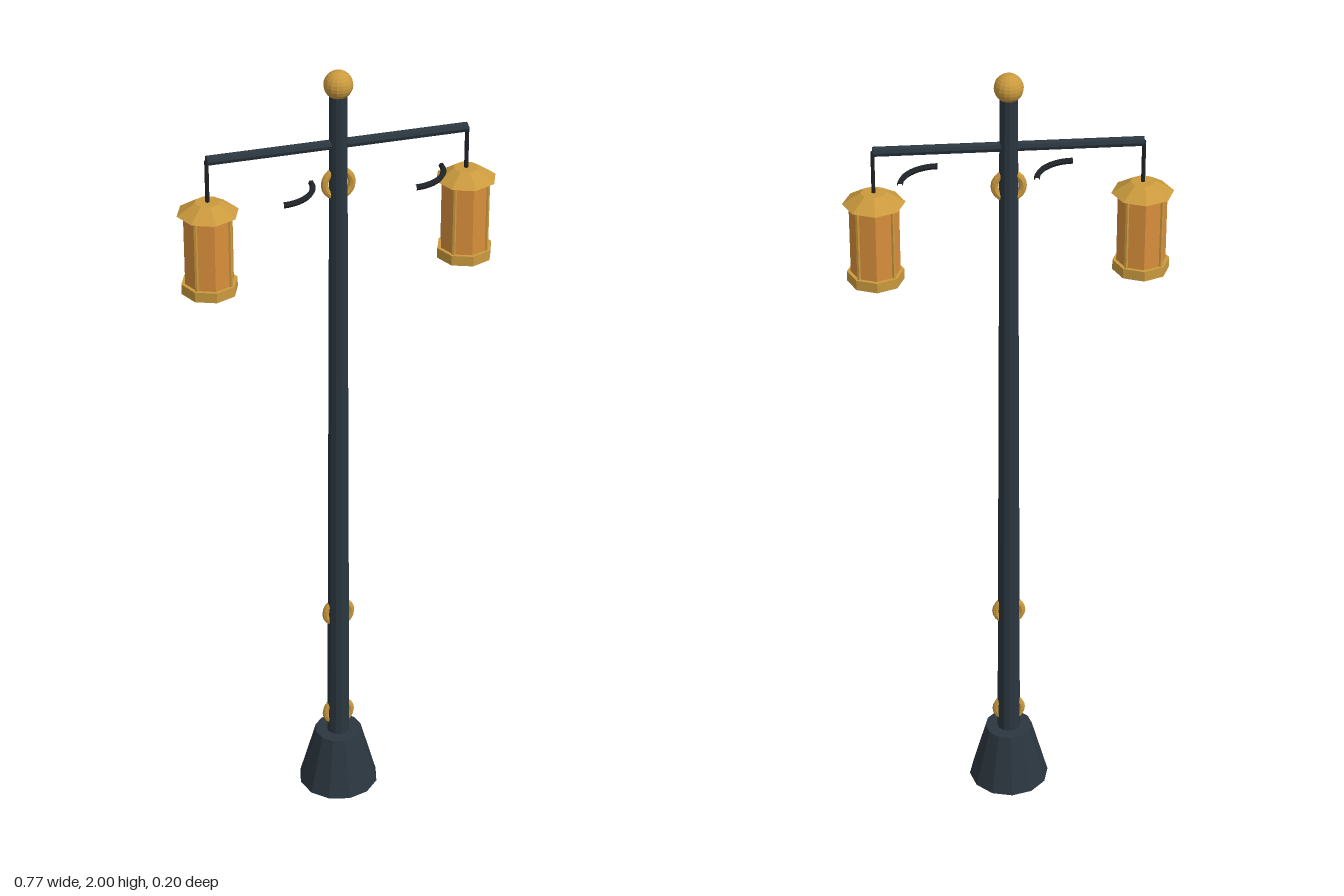
import * as THREE from 'three';

export function createModel() {
  const group = new THREE.Group();
  group.name = 'streetLamp';
  const mat = (name, color, flat) => {
    const m = new THREE.MeshStandardMaterial({ color, flatShading: flat });
    m.name = name;
    return m;
  };
  const iron = mat('iron', 0x2b363f, true);
  const brass = mat('brass', 0xcb9a3e, true);
  const glass = mat('amberGlass', 0xd98f3c, true);
  const dark = mat('darkIron', 0x1f2226, true);

  const add = (parent, name, geometry, material, x = 0, y = 0, z = 0) => {
    const mesh = new THREE.Mesh(geometry, material);
    mesh.name = name;
    mesh.position.set(x, y, z);
    parent.add(mesh);
    return mesh;
  };
  // Cylinder given by its bottom and top heights
  const column = (parent, name, rBottom, rTop, y0, y1, sides, material, x = 0, z = 0) =>
    add(parent, name, new THREE.CylinderGeometry(rTop, rBottom, y1 - y0, sides), material, x, (y0 + y1) / 2, z);

  // Base, tapered pole and finial
  column(group, 'base', 0.102, 0.06, 0, 0.155, 12, iron);
  column(group, 'pole', 0.029, 0.021, 0.15, 1.95, 12, iron);
  add(group, 'finial', new THREE.SphereGeometry(0.034, 16, 12), brass, 0, 1.966, 0);

  // Upright ornament rings passing through the pole
  for (const y of [0.21, 0.52, 1.72]) {
    add(group, 'ornamentRing', new THREE.TorusGeometry(0.033, 0.009, 8, 20), brass, 0, y, 0);
  }

  // Cross arm
  const arm = add(group, 'crossArm', new THREE.CylinderGeometry(0.012, 0.012, 0.62, 8), iron, 0, 1.82, 0);
  arm.rotation.z = Math.PI / 2;

  for (const side of [-1, 1]) {
    // Quarter-circle scroll, both curving the same way
    const scroll = add(group, 'scroll', new THREE.TorusGeometry(0.092, 0.007, 6, 12, Math.PI / 2), dark, side * 0.157, 1.73, 0);
    scroll.rotation.x = Math.PI / 2;

    // Hanging lantern
    const lantern = new THREE.Group();
    lantern.name = side > 0 ? 'leftLantern' : 'rightLantern';
    lantern.position.x = side * 0.31;
    group.add(lantern);
    column(lantern, 'hanger', 0.005, 0.005, 1.7, 1.82, 6, dark);
    column(lantern, 'roof', 0.073, 0.03, 1.69, 1.717, 8, brass);
    column(lantern, 'pane', 0.058, 0.058, 1.51, 1.682, 8, glass);
    column(lantern, 'floor', 0.067, 0.067, 1.49, 1.515, 8, brass);
    for (let i = 0; i < 4; i++) {
      const a = Math.PI / 4 + i * Math.PI / 2;
      column(lantern, 'post', 0.005, 0.005, 1.51, 1.692, 6, brass, 0.057 * Math.cos(a), 0.057 * Math.sin(a));
    }
  }
  return group;
}
